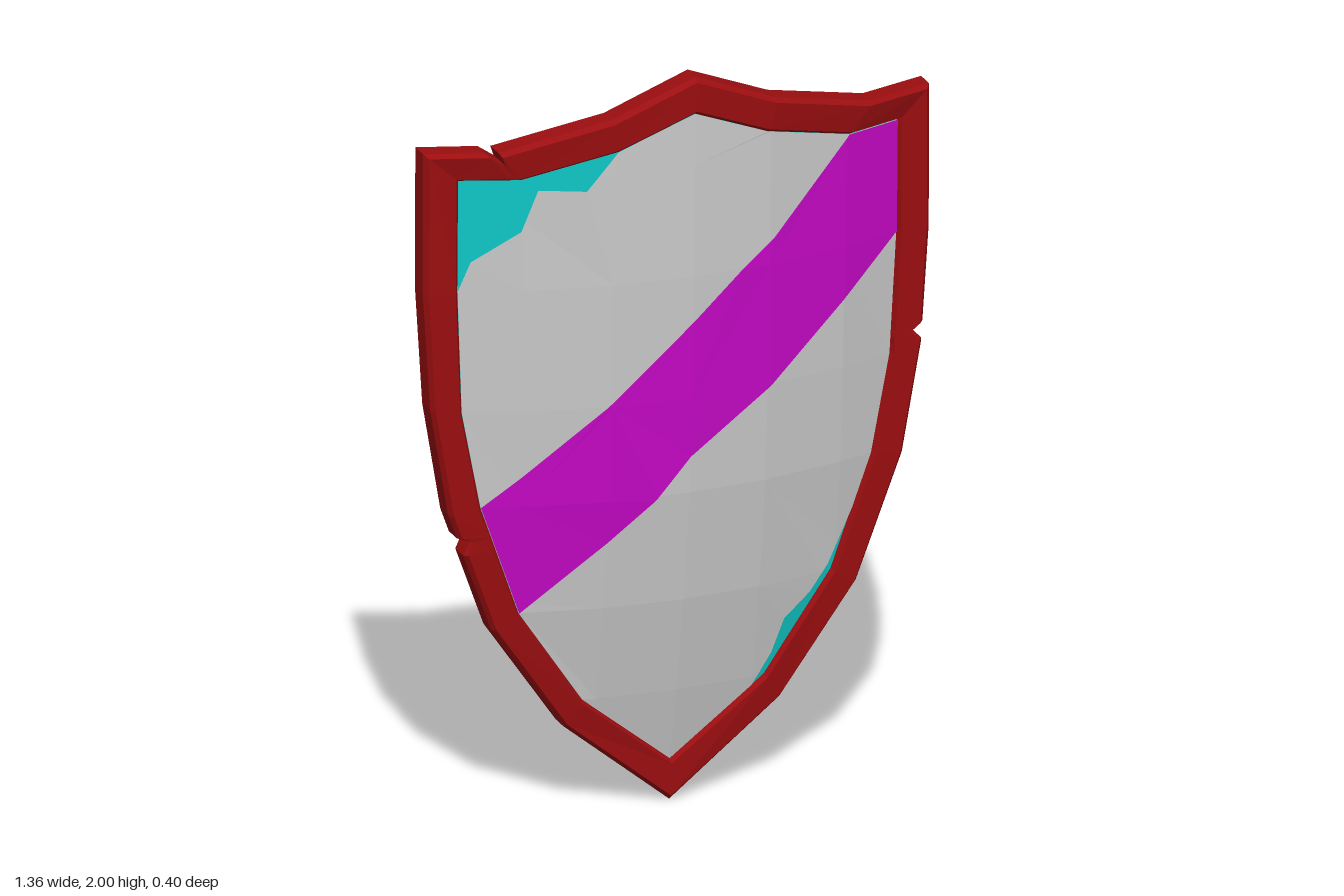
import * as THREE from 'three';

const material = (color, side = THREE.FrontSide) =>
  new THREE.MeshStandardMaterial({ color, flatShading: true, side });
const RED = material(0x9c0e10), CYAN = material(0x10c8c8), GREY = material(0xcccccc);
const MAGENTA = material(0xc808c8), BLUE = material(0x0a0ac8), GREEN = material(0x10c010);

// Half outline from the top to the tip: outer x, y, z and inner x, y
const HALF = [
  [0, 2, 0.2, 0, 1.9], [0.22, 1.91, 0.187, 0.2, 1.82], [0.5, 1.84, 0.127, 0.44, 1.76],
  [0.68, 1.84, 0.068, 0.59, 1.76], [0.68, 1.46, 0.066, 0.59, 1.46], [0.66, 1.15, 0.064, 0.575, 1.13],
  [0.61, 0.86, 0.06, 0.525, 0.87], [0.49, 0.53, 0.05, 0.42, 0.57], [0.29, 0.24, 0.035, 0.245, 0.31],
  [0, 0, 0.02, 0, 0.11],
];
const LOOP = [...HALF, ...HALF.slice(1, -1).reverse().map(([x, y, z, a, b]) => [-x, y, z, -a, b])];
const INNER = LOOP.map((r) => [r[3], r[4]]);

// Height of the curved front face
const CROWN = [[0, 0], [0.11, 0.01], [0.31, 0.055], [0.57, 0.105], [0.87, 0.145],
  [1.13, 0.163], [1.46, 0.178], [1.76, 0.184], [2, 0.186]];
function faceZ(x, y) {
  const i = Math.max(1, CROWN.findIndex((c) => c[0] >= y));
  const [y0, z0] = CROWN[i - 1], [y1, z1] = CROWN[i];
  return z0 + (z1 - z0) * (y - y0) / (y1 - y0) - 0.34 * x * x;
}

function mesh(name, positions, mat) {
  const g = new THREE.BufferGeometry();
  g.setAttribute('position', new THREE.Float32BufferAttribute(positions, 3));
  g.computeVertexNormals();
  const m = new THREE.Mesh(g, mat);
  m.name = name;
  return m;
}

// Skin a run of rings of points
function loft(name, rings, mat, closed = false) {
  const out = [], n = rings[0].length;
  for (let i = 0; i < rings.length - (closed ? 0 : 1); i++) {
    const A = rings[i], B = rings[(i + 1) % rings.length];
    for (let j = 0; j < n; j++) {
      const k = (j + 1) % n;
      out.push(...A[j], ...A[k], ...B[j], ...A[k], ...B[k], ...B[j]);
    }
  }
  return mesh(name, out, mat);
}

// Keep the part of a polygon where sign * (p[axis] - v) >= 0
function clip(poly, axis, v, sign) {
  const out = [];
  poly.forEach((p, i) => {
    const q = poly[(i + 1) % poly.length];
    const a = sign * (p[axis] - v), b = sign * (q[axis] - v);
    if (a >= 0) out.push(p);
    if ((a > 0 && b < 0) || (a < 0 && b > 0)) {
      const t = a / (a - b);
      out.push([p[0] + (q[0] - p[0]) * t, p[1] + (q[1] - p[1]) * t]);
    }
  });
  return out;
}

// Lay a flat polygon over the curved face, split into low-poly facets
const XS = [-0.7, -0.43, -0.21, 0, 0.21, 0.43, 0.7];
function panel(name, poly, offset, mat, back = false) {
  const out = [];
  for (let i = 1; i < XS.length; i++) {
    const column = clip(clip(poly, 0, XS[i - 1], 1), 0, XS[i], -1);
    for (let j = 1; j < CROWN.length; j++) {
      const cell = clip(clip(column, 1, CROWN[j - 1][0], 1), 1, CROWN[j][0], -1);
      if (cell.length < 3) continue;
      const pts = cell.map((p) => new THREE.Vector2(...p));
      for (const tri of THREE.ShapeUtils.triangulateShape(pts, [])) {
        const [a, b, c] = tri.map((k) => pts[k]);
        const area = (b.x - a.x) * (c.y - a.y) - (b.y - a.y) * (c.x - a.x);
        if (Math.abs(area) < 1e-8) continue;
        for (const p of (area > 0) !== back ? [a, b, c] : [a, c, b])
          out.push(p.x, p.y, faceZ(p.x, p.y) + offset);
      }
    }
  }
  return mesh(name, out, mat);
}

// Rim with three battle notches
function rim() {
  const notches = { 4: [0.82, 0.87, 0.97], 11: [0.6, 0.66, 0.72], 15: [0.82, 0.93, 0.99] };
  // segment index -> start, deepest point and end along the segment
  notches[11] = [0.65, 0.74, 0.8];
  const rows = [];
  LOOP.forEach((r, i) => {
    rows.push(r);
    const next = LOOP[(i + 1) % LOOP.length];
    (notches[i] || []).forEach((t, k) => {
      const p = r.map((v, c) => v + (next[c] - v) * t);
      if (k === 1) for (const c of [0, 1]) p[c] += (p[c + 3] - p[c]) * 0.35;
      rows.push(p);
    });
  });
  const profile = [[0.1, -0.08], [0, -0.068], [0, -0.014], [0.12, 0], [0.9, 0], [1, -0.014], [1, -0.07], [0.92, -0.08]];
  const rings = rows.map(([x, y, z, a, b]) => profile.map(([u, d]) =>
    [x + (a - x) * u, y + (b - y) * u, z + (faceZ(a, b) + 0.012 - z) * u + d]));
  return loft('rim', rings, RED, true);
}

// Square-section bar through [y, z, half width, half thickness] points
function bar(name, path, mat) {
  const rings = path.map(([y, z, w, h], i) => {
    const p = path[Math.max(0, i - 1)], q = path[Math.min(path.length - 1, i + 1)];
    const len = Math.hypot(q[0] - p[0], q[1] - p[1]);
    const ny = -(q[1] - p[1]) / len, nz = (q[0] - p[0]) / len;
    return [[-1, 1], [1, 1], [1, -1], [-1, -1]].map(([sx, sn]) => [sx * w, y + ny * h * sn, z + nz * h * sn]);
  });
  return loft(name, rings, mat);
}

function box(name, w, h, d, x, y, z) {
  const m = new THREE.Mesh(new THREE.BoxGeometry(w, h, d), BLUE);
  m.name = name;
  m.position.set(x, y, z);
  return m;
}

function handle(side, x) {
  const group = new THREE.Group();
  group.name = side > 0 ? 'leftHandle' : 'rightHandle';

  // Mounting plate tilted to follow the curved back
  const mount = new THREE.Group();
  mount.name = 'mount';
  mount.position.set(side * 0.325, 1.235, 0.075);
  mount.rotation.set(0.05, side * 0.24, 0);
  mount.add(box('plate', 0.215, 0.7, 0.03, 0, 0, 0));
  for (const dy of [-0.215, 0.215])
    mount.add(box('foot', 0.07, 0.1, 0.03, x - side * 0.325, dy, -0.025));
  group.add(mount);

  const grip = new THREE.Group();
  grip.name = 'grip';
  grip.position.x = x;
  grip.add(bar('gripBar', [
    [1.44, 0.06, 0.02, 0.017], [1.447, -0.04, 0.016, 0.015], [1.45, -0.095, 0.022, 0.016],
    [1.41, -0.145, 0.03, 0.02], [1.36, -0.148, 0.026, 0.02], [1.08, -0.162, 0.026, 0.02],
    [1.035, -0.163, 0.03, 0.02], [1.012, -0.128, 0.022, 0.016], [1.02, -0.04, 0.016, 0.015],
    [1.025, 0.06, 0.02, 0.017]], BLUE));

  // Four bulging wraps
  const wraps = [[1.391, -0.145, 0.001, 0.001]];
  for (let k = 0; k < 4; k++)
    for (const [dy, r] of [[0, 0.027], [0.014, 0.037], [0.05, 0.037], [0.064, 0.027]]) {
      const y = 1.39 - k * 0.088 - dy;
      wraps.push([y, -0.147 - (1.39 - y) * 0.05, r * 0.95, r]);
    }
  wraps.push([1.061, -0.163, 0.001, 0.001]);
  grip.add(bar('gripWrap', wraps, GREEN));
  group.add(grip);
  return group;
}

export function createModel() {
  const model = new THREE.Group();
  model.name = 'shield';
  model.add(rim());

  // Wooden core, front and back
  model.add(panel('coreFront', INNER, -0.005, CYAN));
  model.add(panel('coreBack', INNER, -0.04, CYAN, true));

  // Grey facing with a torn top corner and a torn lower edge
  const facing = [
    ...INNER.slice(0, 7), [0.475, 0.73], [0.41, 0.59], [0.36, 0.52], [0.29, 0.46], [0.26, 0.37], [0.21, 0.285],
    ...INNER.slice(9, 15), [-0.56, 1.54], [-0.44, 1.62], [-0.4, 1.73], [-0.28, 1.72], [-0.2, 1.82],
  ];
  model.add(panel('facing', facing, 0, GREY));

  // Diagonal painted band
  const band = [
    [-0.525, 0.87], [-0.22, 1.13], [0.13, 1.46], [0.22, 1.53], [0.44, 1.76], [0.59, 1.76],
    [0.59, 1.46], [0.22, 1.13], [0, 0.97], [-0.09, 0.86], [-0.42, 0.57],
  ];
  model.add(panel('band', band, 0.004, MAGENTA));

  model.add(handle(1, 0.298), handle(-1, -0.325));
  return model;
}
